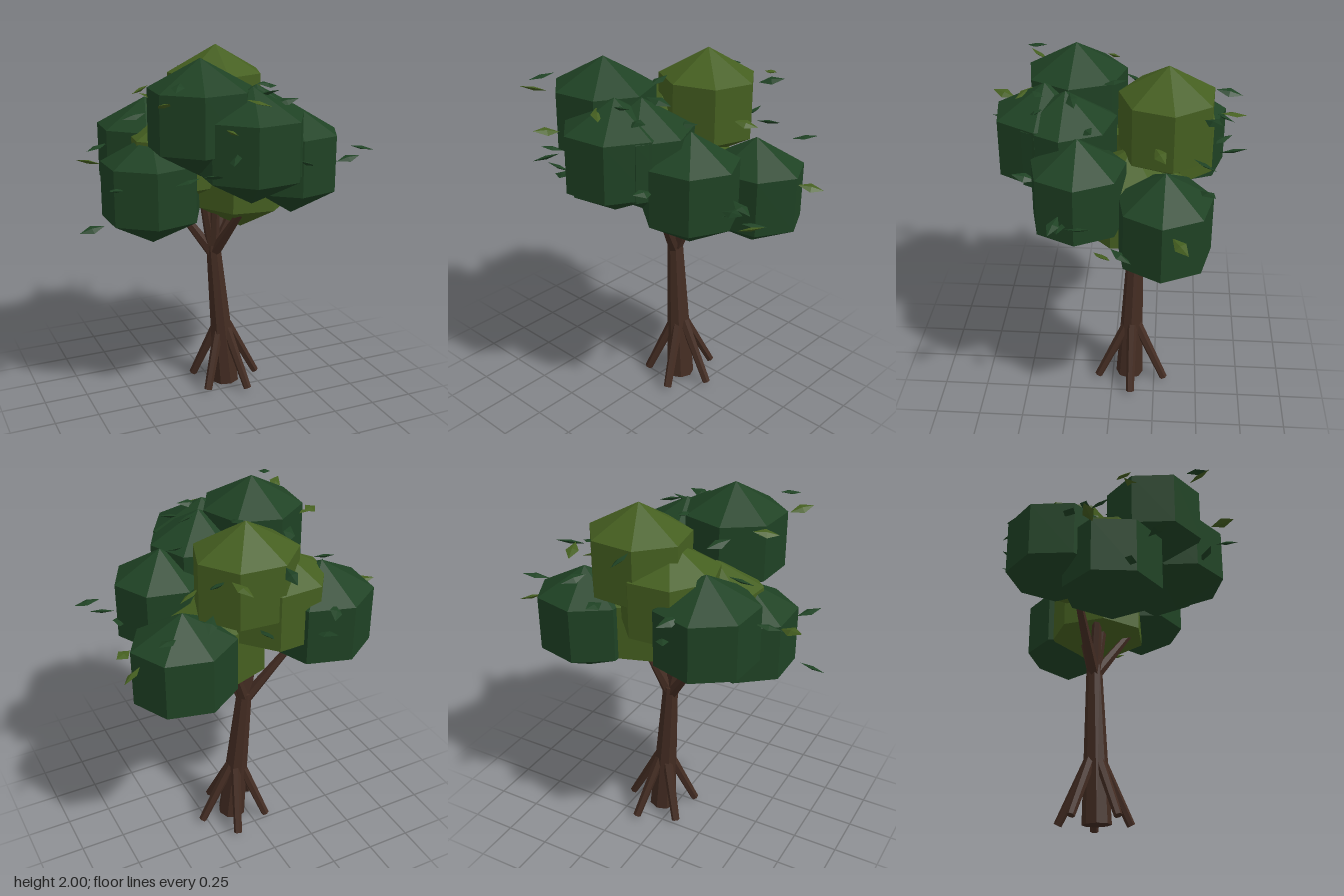
import * as THREE from 'three';

const flat = (name, color) => {
  const m = new THREE.MeshStandardMaterial({ color, flatShading: true });
  m.name = name;
  return m;
};

export function createModel() {
  const tree = new THREE.Group();
  tree.name = 'tree';
  const bark = flat('bark brown', 0x432c22);
  const dark = flat('dark green', 0x1f4224);
  const olive = flat('olive green', 0x455f20);

  const add = (parent, geo, mat, name) => {
    const m = new THREE.Mesh(geo, mat);
    m.name = name;
    parent.add(m);
    return m;
  };
  const group = (name) => {
    const g = new THREE.Group();
    g.name = name;
    tree.add(g);
    return g;
  };
  // Tapered limb between two points
  const limb = (parent, name, a, b, ra, rb, sides) => {
    const p = new THREE.Vector3(...a), q = new THREE.Vector3(...b);
    const d = q.clone().sub(p);
    const m = add(parent, new THREE.CylinderGeometry(rb, ra, d.length(), sides), bark, name);
    m.position.copy(p).add(q).multiplyScalar(0.5);
    m.quaternion.setFromUnitVectors(new THREE.Vector3(0, 1, 0), d.normalize());
  };

  // Trunk, leaning slightly
  limb(tree, 'trunk', [0.08, 0.003, -0.1], [0.008, 0.88, -0.122], 0.08, 0.043, 8);

  // Five splayed roots
  const roots = group('roots');
  for (let i = 0; i < 5; i++) {
    const a = (i / 5) * Math.PI * 2, c = Math.cos(a), s = Math.sin(a);
    limb(roots, 'root', [0.08 + 0.2 * c, 0.014, -0.112 + 0.206 * s],
      [0.06 + 0.03 * c, 0.37, -0.112 + 0.025 * s], 0.023, 0.03, 6);
  }

  // Branches fanning into the crown
  const branches = group('branches');
  [[-0.25, 1.2, -0.22], [0.13, 1.15, -0.2], [0, 1.4, -0.04], [-0.1, 1.4, -0.1],
    [0.1, 1.15, 0.1], [0.16, 1.15, -0.1]].forEach((end) =>
    limb(branches, 'branch', [0.008, 0.82, -0.12], end, 0.035, 0.018, 6));

  // Foliage clumps: x, y, z, angle of one corner in degrees, material, scale along x, y, z
  const crown = group('crown');
  [
    [-0.2, 1.695, 0.21, 4, dark, 1.045, 1, 1.03],
    [0.09, 1.695, -0.28, -8, olive, 1.04, 1, 0.96],
    [0.025, 1.56, 0.355, 108, dark, 1.06, 1, 1.045],
    [0.1, 1.55, 0.24, 2, dark, 1.04, 1, 1],
    [0.36, 1.415, 0.16, 0, dark, 0.98, 1, 0.94],
    [0.435, 1.28, -0.28, 2, dark, 1.05, 1, 0.94],
    [-0.388, 1.28, -0.03, 205, dark, 1.045, 1, 1.03],
    [-0.315, 1.42, -0.335, -99, dark, 1.045, 1, 1.03],
    [0.17, 1.28, -0.1, 20, olive, 1.03, 1, 1.03],
    [-0.085, 1.53, -0.28, 190, olive, 1, 1, 1],
    [-0.245, 1.42, -0.085, 160, olive, 0.93, 0.87, 0.93],
  ].forEach(([x, y, z, deg, mat, sx, sy, sz]) => {
    const geo = new THREE.SphereGeometry(0.305, 7, 3);
    geo.rotateY(Math.PI - THREE.MathUtils.degToRad(deg));
    geo.scale(sx, sy, sz);
    add(crown, geo, mat, 'foliageClump').position.set(x, y, z);
  });

  // Loose diamond leaves: x, y, z, heading in degrees, material
  const leaves = group('leaves');
  const leafGeo = new THREE.OctahedronGeometry(1).scale(0.07, 0.01, 0.033);
  [
    [-0.25, 1.57, -0.59, 60, dark], [-0.21, 1.45, -0.58, 120, dark],
    [0.01, 1.83, -0.59, 80, dark], [0.15, 1.57, -0.62, 85, dark],
    [0.27, 1.83, -0.6, 110, olive], [0.35, 1.82, -0.5, 40, dark],
    [0.37, 1.6, -0.47, 60, dark], [0.6, 1.57, -0.48, 30, dark],
    [0.74, 1.36, -0.36, 30, olive], [0.65, 1.23, 0.02, 35, olive],
    [0.75, 1.46, 0.24, -15, dark], [0.68, 1.4, 0.22, 0, dark],
    [-0.48, 1.82, 0.45, 50, olive], [-0.41, 1.9, 0.45, 60, dark],
    [-0.2, 1.7, 0.61, 65, olive], [-0.19, 1.57, 0.63, 55, dark],
    [-0.655, 1.36, 0.2, 45, dark], [-0.75, 1.12, 0.055, 5, dark],
    [-0.7, 1.43, -0.16, -15, olive], [-0.62, 1.48, -0.26, 20, dark],
    [0.3, 1.46, 0.44, 80, dark], [-0.46, 1.83, 0.03, 30, olive],
    [-0.42, 1.8, 0.08, -45, olive], [-0.43, 1.65, -0.18, 10, dark],
    [-0.26, 1.78, -0.1, 60, dark], [-0.01, 1.86, 0, 90, dark],
    [0.18, 1.84, 0.2, 10, dark], [0.09, 1.83, 0.38, -10, dark],
    [0.01, 1.8, 0.46, -40, olive], [0.2, 1.78, 0.38, 0, dark],
    [-0.25, 1.46, 0.5, 20, dark], [-0.28, 1.37, 0.23, 0, dark],
    [0.38, 1.65, -0.25, 20, olive], [0.62, 1.36, 0.14, 70, dark],
    [0.6, 1.2, -0.07, 50, dark], [0.28, 1.72, 0.12, 30, dark],
  ].forEach(([x, y, z, deg, mat], i) => {
    const leaf = add(leaves, leafGeo, mat, 'leaf');
    leaf.position.set(x, y, z);
    leaf.rotation.set((i % 3 - 1) * 0.4, THREE.MathUtils.degToRad(deg), (i % 2 - 0.5) * 0.4, 'YXZ');
  });

  return tree;
}
